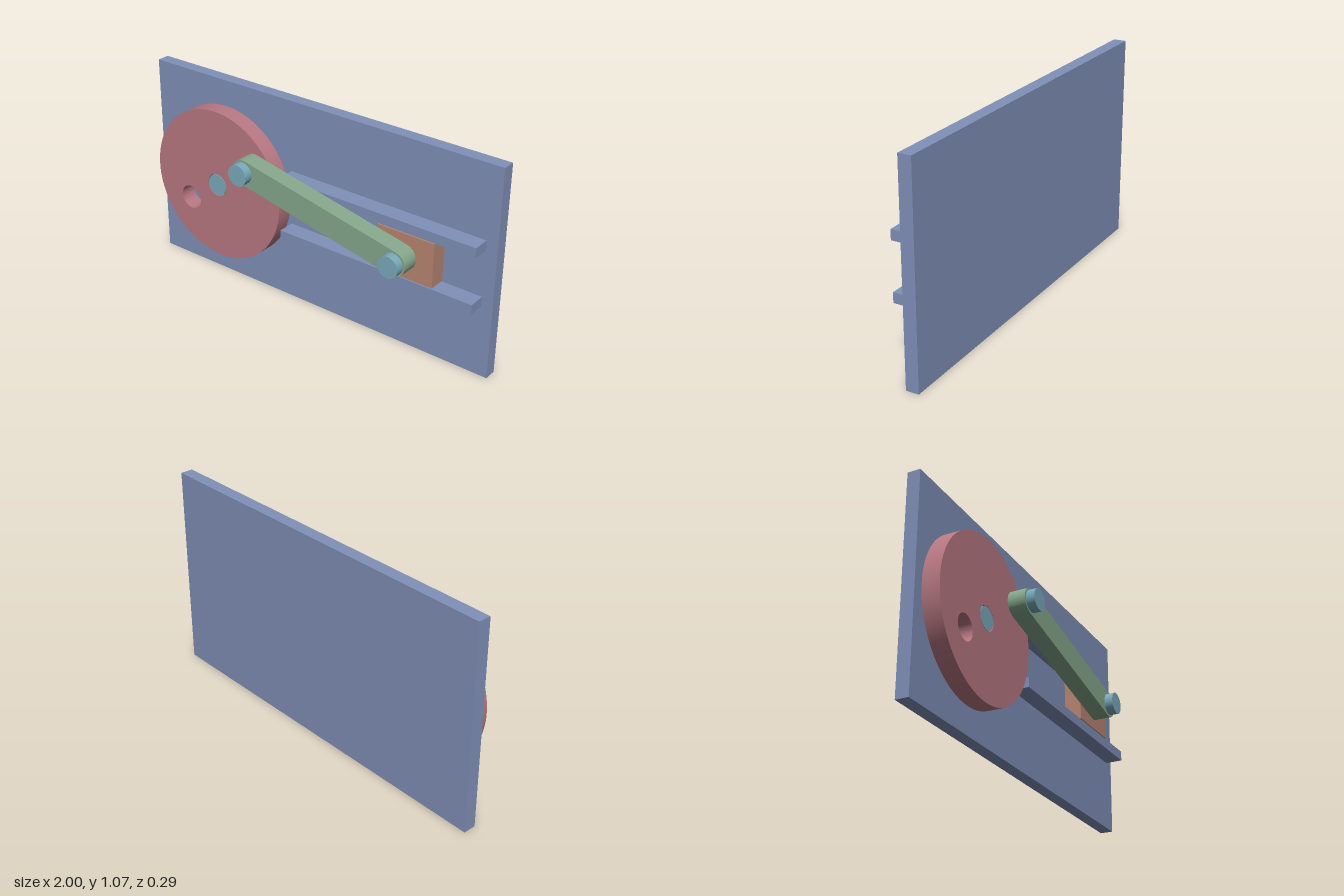
import * as THREE from 'three';
import { toCreasedNormals } from 'three/addons/utils/BufferGeometryUtils.js';

const material = (color) => new THREE.MeshStandardMaterial({ color });
const BLUE = material(0x8090b8), RED = material(0xb87882), GREEN = material(0x86a88c);
const TEAL = material(0x7aaabb), ORANGE = material(0xb88672);

// depth layers along z
const BACK = -0.143, PLATE = -0.078, DISC = 0.01, ROD = 0.1, PIN = 0.143;
const hub = new THREE.Vector2(-0.547, 0.535);
const crank = new THREE.Vector2(-0.295, 0.717);
const wrist = new THREE.Vector2(0.58, 0.536);

export function createModel() {
  const group = new THREE.Group();
  const add = (name, geometry, mat) => {
    const mesh = new THREE.Mesh(geometry, mat);
    mesh.name = name;
    group.add(mesh);
    return mesh;
  };
  const block = (name, x0, x1, y0, y1, z0, z1, mat) =>
    add(name, new THREE.BoxGeometry(x1 - x0, y1 - y0, z1 - z0), mat)
      .position.set((x0 + x1) / 2, (y0 + y1) / 2, (z0 + z1) / 2);
  const extrude = (name, shape, z0, z1, mat) => {
    const g = new THREE.ExtrudeGeometry(shape, { depth: z1 - z0, bevelEnabled: false, curveSegments: 48 });
    add(name, toCreasedNormals(g, 0.6), mat).position.z = z0;
  };
  const pin = (name, at, r, z0, z1) => {
    const g = new THREE.CylinderGeometry(r, r, z1 - z0, 40).rotateX(Math.PI / 2);
    add(name, g, TEAL).position.set(at.x, at.y, (z0 + z1) / 2);
  };

  // back plate with the two guide rails
  block('backPlate', -1, 1, 0, 1.07, BACK, PLATE, BLUE);
  block('upperRail', -0.14, 0.943, 0.655, 0.705, PLATE, DISC, BLUE);
  block('lowerRail', -0.14, 0.943, 0.367, 0.417, PLATE, DISC, BLUE);

  // crank disc with hub bore and balance hole
  const disc = new THREE.Shape().absarc(hub.x, hub.y, 0.4, 0, Math.PI * 2);
  disc.holes.push(
    new THREE.Path().absarc(hub.x, hub.y, 0.06, 0, Math.PI * 2, true),
    new THREE.Path().absarc(-0.73, 0.41, 0.063, 0, Math.PI * 2, true));
  extrude('crankDisc', disc, PLATE, DISC, RED);

  // sliding block between the rails
  block('slider', 0.43, 0.735, 0.422, 0.65, PLATE, DISC, ORANGE);

  // connecting rod with rounded ends
  const tilt = Math.atan2(wrist.y - crank.y, wrist.x - crank.x), q = Math.PI / 2;
  const rod = new THREE.Shape();
  rod.absarc(wrist.x, wrist.y, 0.065, tilt - q, tilt + q);
  rod.absarc(crank.x, crank.y, 0.065, tilt + q, tilt + 3 * q);
  extrude('connectingRod', rod, DISC + 0.001, ROD, GREEN);

  // pins
  pin('hubPin', hub, 0.057, PLATE, DISC);
  pin('crankPin', crank, 0.055, DISC, PIN);
  pin('wristPin', wrist, 0.055, DISC, PIN);
  return group;
}
